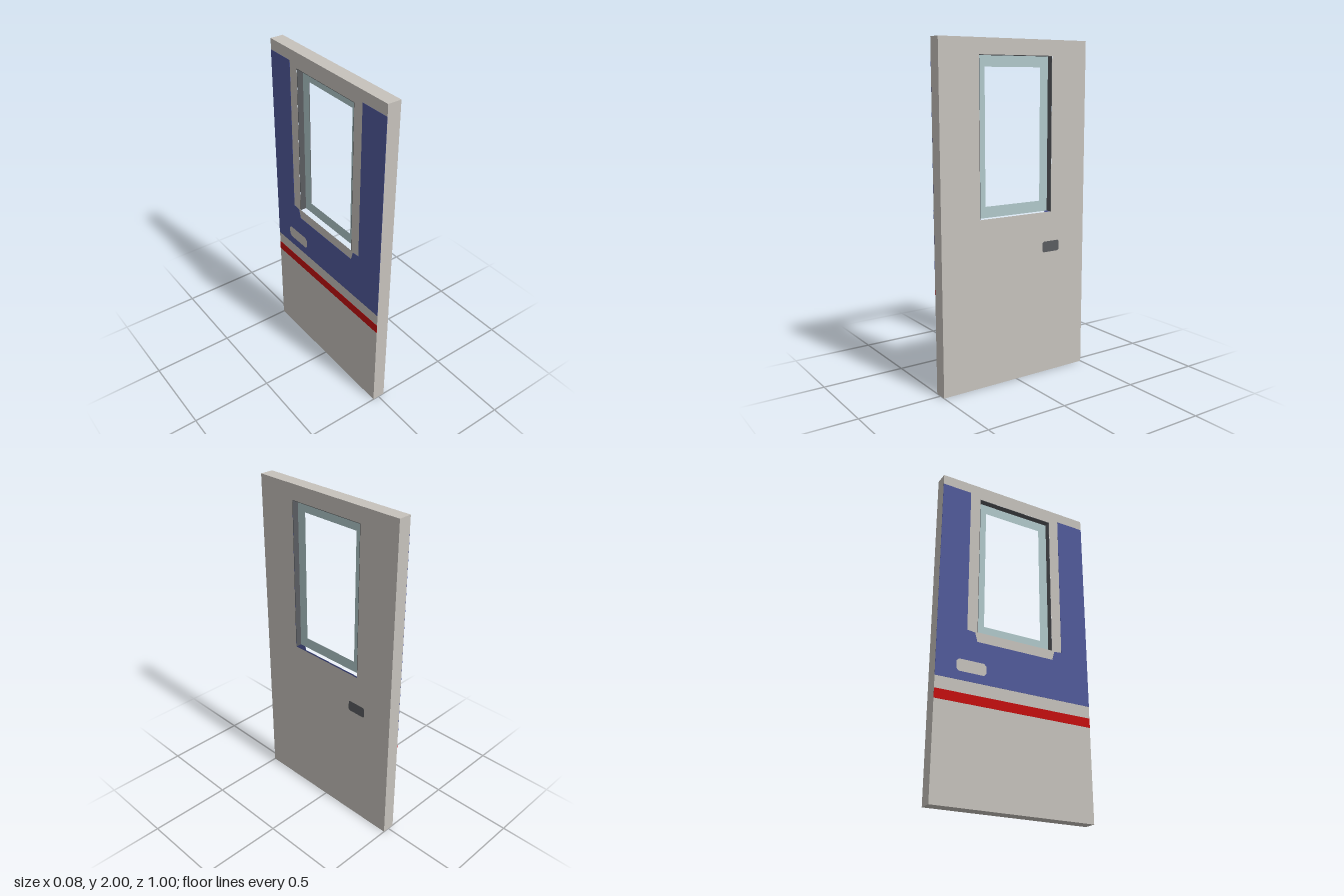
import * as THREE from 'three';

const mat = (name, color) => {
  const m = new THREE.MeshStandardMaterial({ color });
  m.name = name;
  return m;
};

// Outline from [z, y] points; the shape's own x axis is -z once stood upright.
const outline = (points, Type = THREE.Shape) =>
  new Type(points.map(([z, y]) => new THREE.Vector2(-z, y)));

const rect = (z0, z1, y0, y1) => [[z0, y0], [z1, y0], [z1, y1], [z0, y1]];

// Rectangle with clipped corners
const clipped = (z0, z1, y0, y1, c) => [
  [z0 + c, y0], [z1 - c, y0], [z1, y0 + c], [z1, y1 - c],
  [z1 - c, y1], [z0 + c, y1], [z0, y1 - c], [z0, y0 + c],
];

export function createModel() {
  const group = new THREE.Group();
  const body = mat('warm grey panel', 0xc6c2bc);
  const frame = mat('pale teal frame', 0xb0c8ca);
  const dark = mat('dark grey', 0x5a5c60);
  const blue = mat('blue paint', 0x515a9b);
  const red = mat('red paint', 0xc40e0e);

  // Extruded slab in the z-y plane, spanning x0 to x1
  const slab = (name, material, points, x0, x1, holes = []) => {
    const shape = outline(points);
    shape.holes = holes.map((h) => outline(h, THREE.Path));
    const geo = new THREE.ExtrudeGeometry(shape, { depth: x1 - x0, bevelEnabled: false });
    geo.rotateY(Math.PI / 2).translate(x0, 0, 0);
    const mesh = new THREE.Mesh(geo, material);
    mesh.name = name;
    group.add(mesh);
  };

  const T = 0.04; // half thickness of the door
  const opening = rect(-0.25, 0.25, 1.0, 1.91);

  // Door leaf and the recessed window frame
  slab('doorLeaf', body, rect(-0.5, 0.5, 0, 2), -T, T, [opening]);
  slab('windowFrame', frame, opening, -0.003, 0.003, [rect(-0.19, 0.19, 1.065, 1.845)]);

  // Dark lining on the sides and head of the opening
  for (const s of [-1, 1]) {
    const z = [s * 0.25, s * 0.247].sort((a, b) => a - b);
    slab(s > 0 ? 'frontLining' : 'rearLining', dark, rect(z[0], z[1], 1.0, 1.91), -T + 0.0005, T - 0.0005);
  }
  slab('headLining', dark, rect(-0.247, 0.247, 1.907, 1.91), -T + 0.0005, T - 0.0005);

  // Handle plate on the +x face
  slab('handlePlate', dark, clipped(-0.31, -0.19, 0.755, 0.82, 0.008), T - 0.001, T + 0.001);

  // Blue field on the -x face, leaving a border round the window and handle
  const field = [
    [-0.5, 0.69], [0.5, 0.69], [0.5, 1.935], [0.315, 1.935], [0.315, 1.0], [0.265, 0.995],
    [0.25, 0.94], [-0.25, 0.94], [-0.265, 0.995], [-0.315, 1.0], [-0.315, 1.935], [-0.5, 1.935],
  ];
  slab('blueField', blue, field, -T - 0.001, -T + 0.001,
    [clipped(-0.375, -0.19, 0.742, 0.815, 0.015)]);

  // Red stripe below it
  slab('redStripe', red, rect(-0.5, 0.5, 0.56, 0.617), -T - 0.001, -T + 0.001);

  return group;
}
